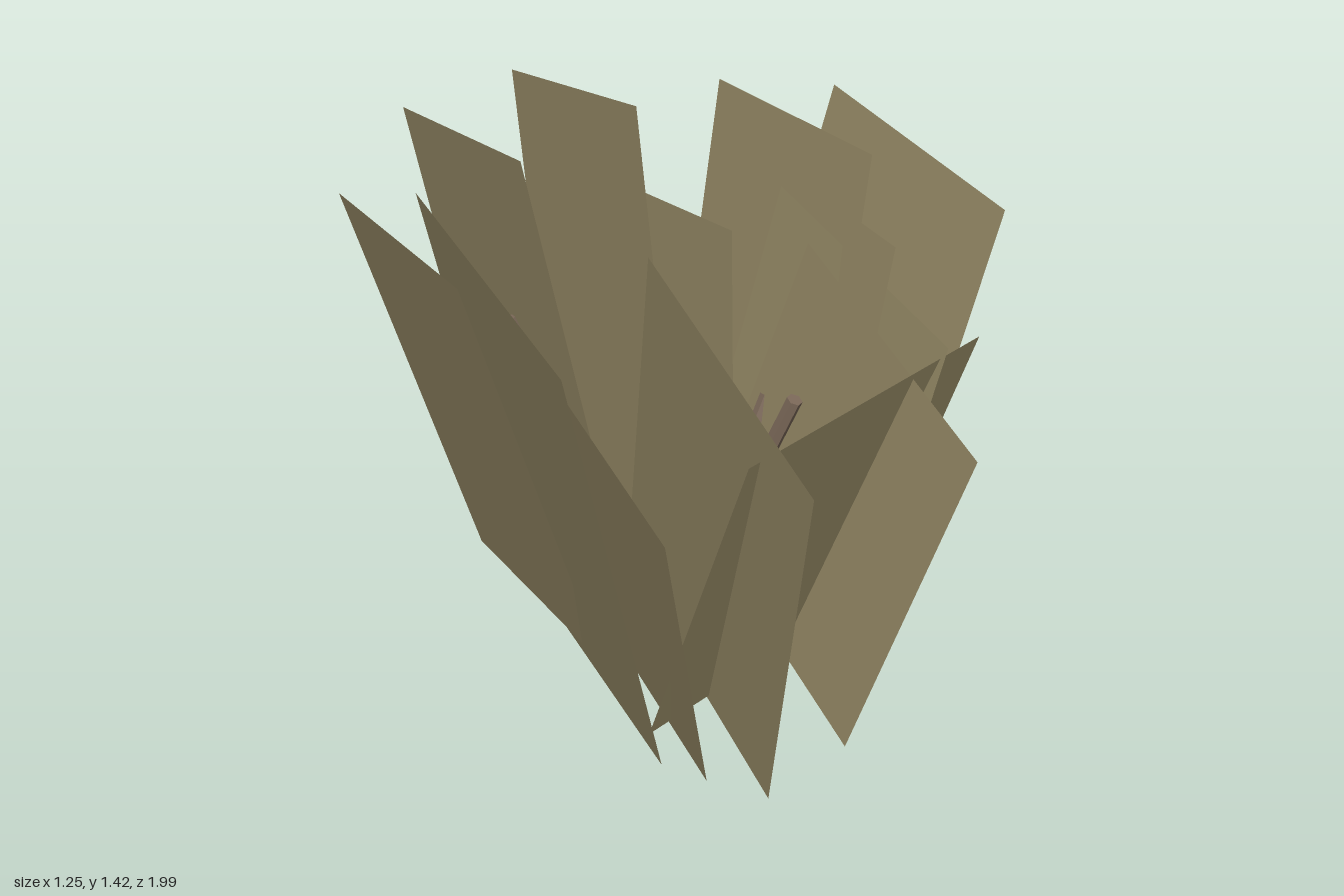
import * as THREE from 'three';

const LEAF_WIDTH = 0.78;
const STEM_RADIUS = 0.02;

export function createModel() {
  const model = new THREE.Group();
  model.name = 'shrub';

  const leafMaterial = new THREE.MeshStandardMaterial({ color: 0x968a66, side: THREE.DoubleSide });
  leafMaterial.name = 'dry olive';
  const stemMaterial = new THREE.MeshStandardMaterial({ color: 0x7d6a5a, flatShading: true });
  stemMaterial.name = 'bark brown';

  // Flat rectangular leaf card between the middles of its lower and upper edges
  function addLeaf(name, bottom, top, facesFront) {
    const base = new THREE.Vector3(...bottom);
    const up = new THREE.Vector3(...top).sub(base);
    const across = facesFront
      ? new THREE.Vector3(up.z, 0, -up.x)
      : new THREE.Vector3(0, up.z, -up.y);
    across.normalize();
    const normal = across.clone().cross(up).normalize();
    const frame = new THREE.Matrix4().makeBasis(across.multiplyScalar(LEAF_WIDTH), up, normal);
    const geometry = new THREE.PlaneGeometry(1, 1).translate(0, 0.5, 0).applyMatrix4(frame);
    const leaf = new THREE.Mesh(geometry, leafMaterial);
    leaf.name = name;
    leaf.position.copy(base);
    model.add(leaf);
  }

  // Leaves fanning sideways, from the right side to the left
  const sideLeaves = [
    [[-0.34, 0.126, 0.154], [-0.625, 1.36, 0.273]],
    [[-0.35, 0.135, -0.135], [-0.62, 1.195, -0.29]],
    [[-0.255, 0.13, 0.23], [-0.446, 0.985, 0.39]],
    [[-0.207, 0.14, -0.25], [-0.35, 1.31, -0.526]],
    [[-0.14, 0.134, 0.335], [-0.215, 1.2, 0.62]],
    [[-0.03, 0.13, -0.294], [0, 1.32, -0.62]],
    [[0.047, 0.133, -0.187], [0.148, 1.06, -0.407]],
    [[0.115, 0.134, 0.262], [0.283, 1.055, 0.487]],
    [[0.166, 0.125, -0.01], [0.392, 1.193, -0.065]],
    [[0.16, 0.13, 0.125], [0.375, 1.115, 0.203]],
    [[0.207, 0.138, -0.123], [0.463, 1.278, -0.293]],
    [[0.28, 0.135, 0.04], [0.62, 1.305, 0.04]],
  ];
  sideLeaves.forEach(([bottom, top], i) => addLeaf(`sideLeaf${i + 1}`, bottom, top, false));

  // Single leaf across the front
  addLeaf('frontLeaf', [0.035, 0.13, 0.352], [0.13, 1.05, 0.65], true);

  // Thin six-sided stems spreading from one root
  const root = new THREE.Vector3(-0.06, 0.008, 0.04);
  const stemTips = [
    [0.33, 0.97, 0.04],
    [0.145, 0.85, 0.30],
    [-0.155, 0.9, 0.38],
    [-0.39, 0.865, 0.175],
    [-0.395, 0.98, -0.16],
  ];
  stemTips.forEach((tip, i) => {
    const direction = new THREE.Vector3(...tip).sub(root);
    const length = direction.length();
    const geometry = new THREE.CylinderGeometry(STEM_RADIUS, STEM_RADIUS, length, 6).translate(0, length / 2, 0);
    const stem = new THREE.Mesh(geometry, stemMaterial);
    stem.name = `stem${i + 1}`;
    stem.position.copy(root);
    stem.quaternion.setFromUnitVectors(new THREE.Vector3(0, 1, 0), direction.normalize());
    model.add(stem);
  });

  return model;
}
